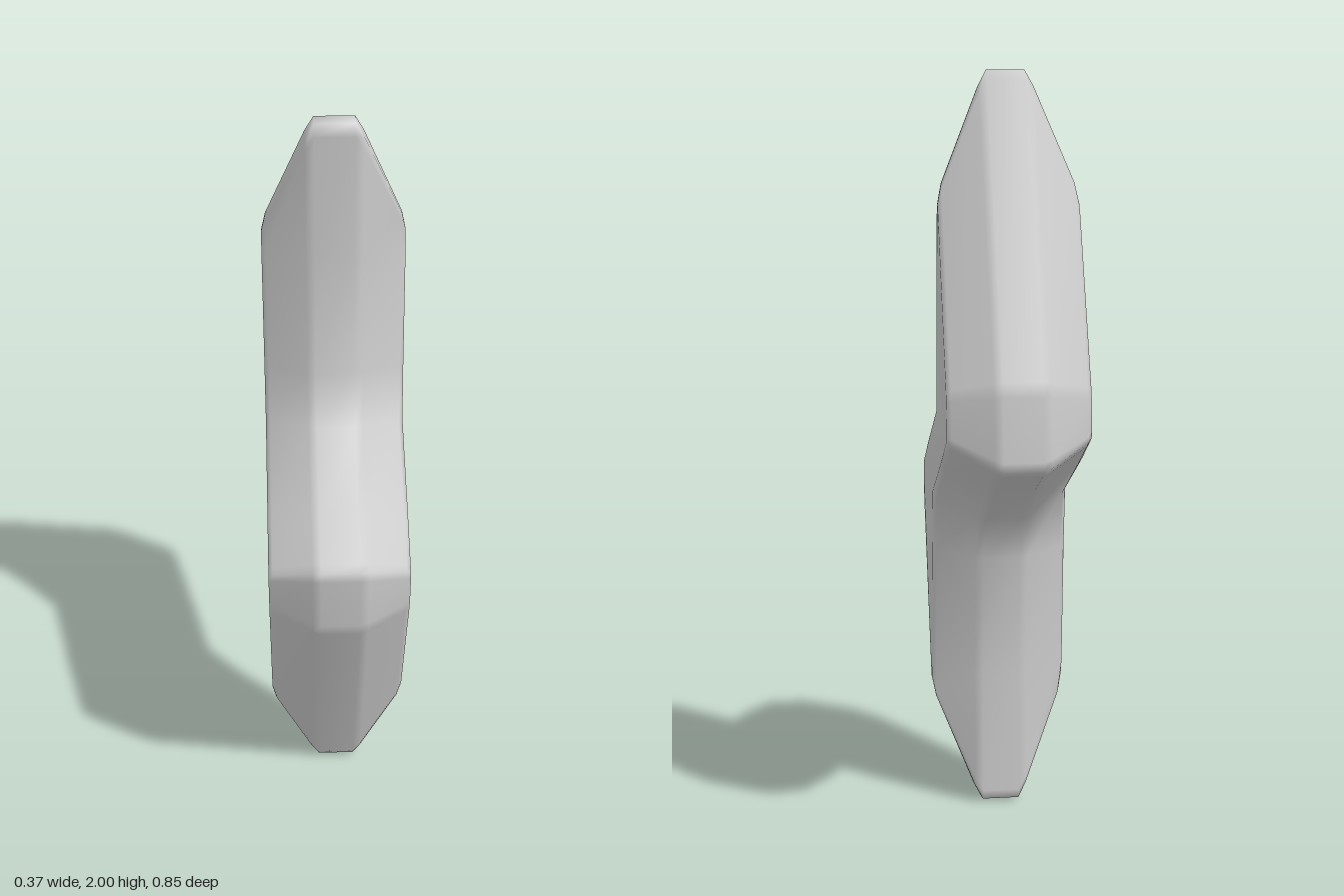
import * as THREE from 'three';

// Half of the zigzag outline: [z, y] of the outer edge, then [z, y] of the inset side face
const HALF = [
  [-0.015, 1.965, -0.115, 1.645],
  [-0.03, 1.993, -0.12, 1.66],
  [-0.06, 2.0, -0.13, 1.66],
  [-0.078, 1.975, -0.14, 1.645],
  [-0.4, 1.235, -0.325, 1.21],
  [-0.409, 1.2, -0.333, 1.18],
  [-0.427, 1.04, -0.342, 1.1],
  [-0.422, 1.015, -0.335, 1.085],
  [-0.4, 1.002, -0.32, 1.075],
  [-0.265, 0.94, -0.2, 1.01],
  [-0.055, 0.822, 0.065, 0.88],
  [0.012, 0.7, 0.085, 0.72],
  [0.036, 0.36, 0.108, 0.38],
];
// The other half is the same, turned by 180 degrees about the x axis
const OUTLINE = [...HALF, ...HALF.map(([z, y, iz, iy]) => [-z, 2 - y, -iz, 2 - iy])];

// Slices across the width: [x, inset from 0 (outer edge) to 1 (side face)]
const SIDE = [[0.05, 0], [0.072, 0.12], [0.172, 0.84], [0.183, 1]];
const SLICES = [...SIDE.map(([x, t]) => [-x, t]).reverse(), ...SIDE];

function boltGeometry() {
  const n = OUTLINE.length;
  const positions = [];
  const index = [];
  for (const [x, t] of SLICES) {
    for (const [z, y, iz, iy] of OUTLINE) {
      positions.push(x, THREE.MathUtils.lerp(y, iy, t), THREE.MathUtils.lerp(z, iz, t));
    }
  }
  // Skin between neighbouring slices
  for (let i = 0; i < SLICES.length - 1; i++) {
    for (let j = 0; j < n; j++) {
      const k = (j + 1) % n;
      const a = i * n + j, b = a + n, c = (i + 1) * n + k, d = i * n + k;
      index.push(a, b, c, a, c, d);
    }
  }
  // Flat side faces
  const inset = OUTLINE.map(([, , iz, iy]) => new THREE.Vector2(iz, iy));
  const last = (SLICES.length - 1) * n;
  for (const [a, b, c] of THREE.ShapeUtils.triangulateShape(inset, [])) {
    index.push(a, b, c, last + a, last + c, last + b);
  }
  const geometry = new THREE.BufferGeometry();
  geometry.setAttribute('position', new THREE.Float32BufferAttribute(positions, 3));
  geometry.setIndex(index);
  geometry.computeVertexNormals();
  return geometry;
}

export function createModel() {
  const group = new THREE.Group();
  group.name = 'lightningBolt';
  const bolt = new THREE.Mesh(boltGeometry(), new THREE.MeshStandardMaterial({ color: 0xcccccc }));
  bolt.name = 'boltBody';
  group.add(bolt);
  return group;
}
